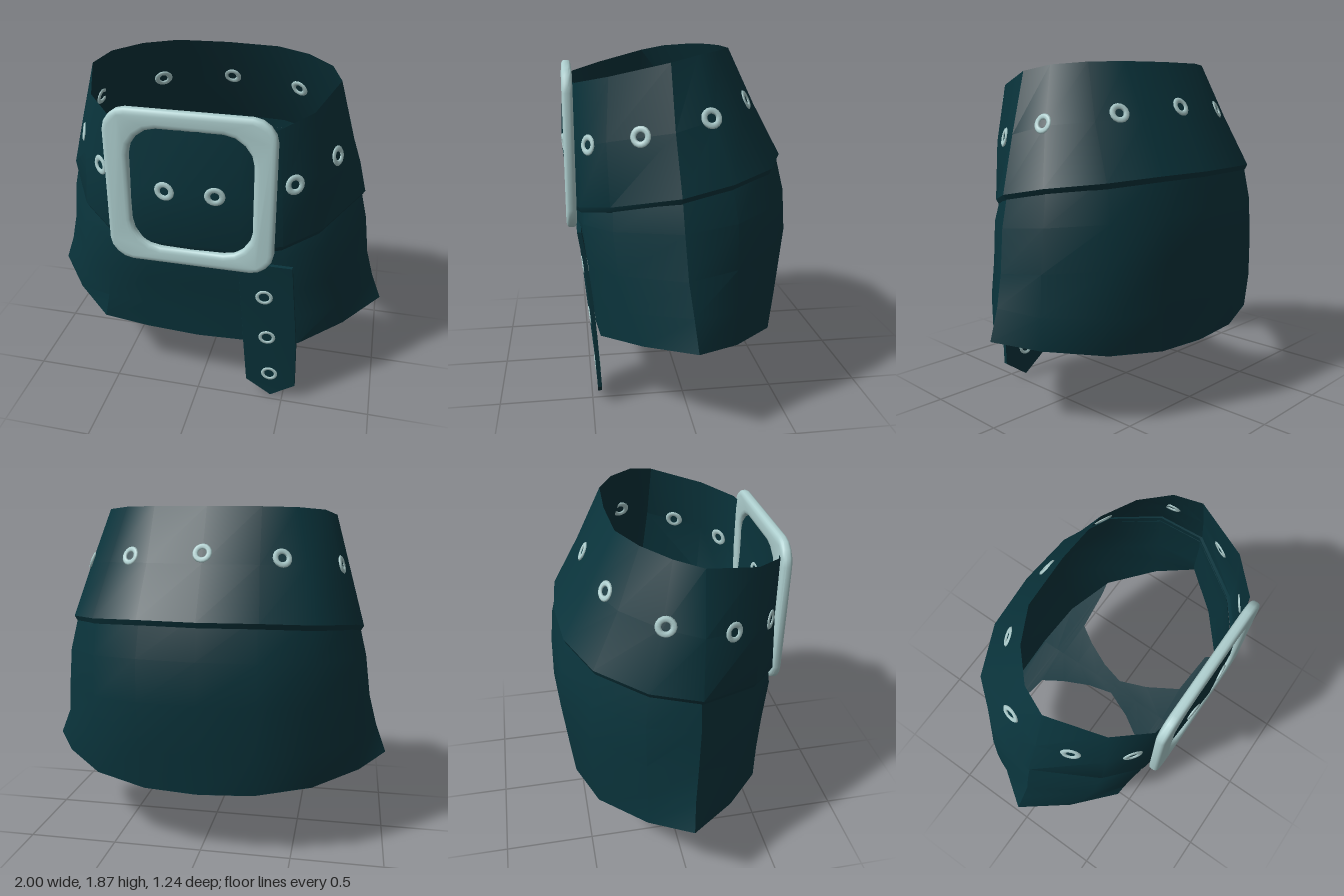
import * as THREE from 'three';
import { toCreasedNormals } from 'three/addons/utils/BufferGeometryUtils.js';

const cloth = new THREE.MeshStandardMaterial({ color: 0x0a343c, side: THREE.DoubleSide });
cloth.name = 'dark teal leather';
const metal = new THREE.MeshStandardMaterial({ color: 0xaecfcf });
metal.name = 'pale metal';

const smooth = (g, angle = 0.6) => toCreasedNormals(g, angle);

function addMesh(group, name, geometry, material) {
  const mesh = new THREE.Mesh(geometry, material);
  mesh.name = name;
  group.add(mesh);
  return mesh;
}

// Skin a grid of points; rows run downwards, columns run front -> left -> back
function skin(rows, closed) {
  const n = rows[0].length, index = [];
  for (let r = 0; r < rows.length - 1; r++) {
    for (let c = 0; c < (closed ? n : n - 1); c++) {
      const d = (c + 1) % n;
      const a = r * n + c, b = a + n, e = (r + 1) * n + d, f = r * n + d;
      index.push(a, b, f, b, e, f);
    }
  }
  const g = new THREE.BufferGeometry();
  g.setAttribute('position', new THREE.Float32BufferAttribute(rows.flat(2), 3));
  g.setIndex(index);
  return smooth(g);
}

// Half ring given as [x, y, z] from centre front to centre back, mirrored across x
function ring(half) {
  const other = half.slice(1, -1).reverse().map(([x, y, z]) => [-x, y, z]);
  return [...half, ...other];
}

// Piecewise linear lookup in [[key, value], ...] with rising keys
function lookup(table, k) {
  for (let i = 1; i < table.length; i++) {
    const [k0, v0] = table[i - 1], [k1, v1] = table[i];
    if (k <= k1 || i === table.length - 1) return v0 + (v1 - v0) * (k - k0) / (k1 - k0);
  }
}

// Square outline with cut, slightly rounded corners
function cutSquare(path, x0, x1, y0, y1, c) {
  const k = c * 0.5;
  path.moveTo(x0 + c, y0);
  path.lineTo(x1 - c, y0);
  path.bezierCurveTo(x1 - k, y0, x1, y0 + k, x1, y0 + c);
  path.lineTo(x1, y1 - c);
  path.bezierCurveTo(x1, y1 - k, x1 - k, y1, x1 - c, y1);
  path.lineTo(x0 + c, y1);
  path.bezierCurveTo(x0 + k, y1, x0, y1 - k, x0, y1 - c);
  path.lineTo(x0, y0 + c);
  path.bezierCurveTo(x0, y0 + k, x0 + k, y0, x0 + c, y0);
  return path;
}

export function createModel() {
  const model = new THREE.Group();
  model.name = 'beltedSkirt';

  // Wide belt, leaning inwards towards its rim, its lower edge curled under
  const rim = [[0, 1.69, .605], [.25, 1.70, .58], [.42, 1.71, .54], [.57, 1.75, .38], [.67, 1.82, .09],
    [.61, 1.85, -.05], [.47, 1.865, -.18], [.29, 1.87, -.27], [0, 1.872, -.285]];
  const waist = [[0, 1.36, .62], [.25, 1.36, .595], [.45, 1.39, .53], [.62, 1.44, .40], [.76, 1.50, .08],
    [.71, 1.55, -.12], [.54, 1.57, -.30], [.30, 1.58, -.41], [0, 1.58, -.435]];
  const beltEnd = [[0, 1.05, .59], [.25, 1.05, .58], [.47, 1.08, .54], [.65, 1.12, .39], [.845, 1.20, .06],
    [.80, 1.25, -.20], [.60, 1.28, -.44], [.32, 1.30, -.56], [0, 1.30, -.585]];
  const curl = beltEnd.map(([x, y, z]) => [x * .98, y - .03, z * .98]);
  const belt = addMesh(model, 'belt', skin([rim, waist, beltEnd, curl].map(ring), true), cloth);

  // Skirt tucked under the belt, flaring to pointed sides
  const tuck = beltEnd.map(([x, y, z]) => [x * .965, y + .03, z * .955]);
  const hip = [[0, .98, .565], [.26, .98, .555], [.48, .99, .525], [.67, 1.0, .38], [.865, 1.03, .05],
    [.82, 1.06, -.22], [.60, 1.08, -.46], [.32, 1.10, -.59], [0, 1.10, -.615]];
  const middle = [[0, .75, .52], [.28, .75, .515], [.50, .76, .495], [.70, .78, .36], [.895, .80, .035],
    [.84, .83, -.22], [.60, .85, -.475], [.32, .87, -.605], [0, .87, -.62]];
  const lower = [[0, .56, .492], [.29, .56, .488], [.53, .57, .47], [.76, .60, .31], [.94, .63, .015],
    [.85, .61, -.22], [.60, .60, -.475], [.31, .59, -.575], [0, .59, -.585]];
  const hem = [[0, .375, .475], [.30, .385, .47], [.57, .40, .45], [.80, .435, .25], [1, .47, 0],
    [.85, .435, -.22], [.60, .40, -.45], [.30, .37, -.55], [0, .36, -.565]];
  addMesh(model, 'skirt', skin([tuck, hip, middle, lower, hem].map(ring), true), cloth);

  // Underside between the leg openings, spreading along the front and back hem:
  // [z, half width, centre y, edge y]
  const under = [[.475, .02, .375, .375], [.47, .30, .376, .385], [.45, .56, .377, .40], [.405, .52, .38, .40],
    [.385, .235, .381, .39], [.2, .12, .388, .394], [.03, .05, .40, .40], [-.12, .09, .394, .397],
    [-.28, .165, .382, .392], [-.40, .24, .374, .387], [-.435, .5, .371, .395], [-.455, .59, .37, .40],
    [-.55, .30, .362, .37], [-.565, .02, .36, .36]];
  const underRows = under.map(([z, w, y, edge]) => [[w, edge, z], [0, y, z], [-w, edge, z]]);
  addMesh(model, 'underside', skin(underRows, false), cloth);

  // Hanging strap end with a pointed tip, leaning back as it falls
  const left = [[.24, .96], [.245, .8], [.255, .6], [.265, .4], [.285, .1]];
  const right = [[.57, .1], [.565, .4], [.55, .6], [.535, .8], [.525, .96]];
  const outline = [...left, [.43, 0], ...right].map(([x, y]) => new THREE.Vector2(x, y));
  const thick = .022;
  const strapGeo = new THREE.ExtrudeGeometry(new THREE.Shape(outline), { depth: thick, bevelEnabled: false });
  const lean = [[0, .445], [.1, .45], [.4, .468], [.6, .484], [.8, .507], [.96, .533]];
  const p = strapGeo.attributes.position;
  for (let i = 0; i < p.count; i++) p.setZ(i, p.getZ(i) + lookup(lean, p.getY(i)));
  const strap = addMesh(model, 'strapEnd', smooth(strapGeo), cloth);

  // Buckle frame with cut corners
  const frame = cutSquare(new THREE.Shape(), -.44, .43, .93, 1.78, .12);
  frame.holes.push(cutSquare(new THREE.Path(), -.315, .32, 1.02, 1.685, .15));
  const buckleGeo = new THREE.ExtrudeGeometry(frame, {
    depth: .02, bevelThickness: .018, bevelSize: .028, bevelOffset: -.028, bevelSegments: 3, curveSegments: 4,
  });
  buckleGeo.translate(0, 0, .569);
  addMesh(model, 'buckle', smooth(buckleGeo, .9), metal);

  // Flat eyelets, showing on both faces, set where a ray meets the surface
  const eyeletGeo = new THREE.TorusGeometry(.038, .0155, 6, 16);
  const eyelets = new THREE.Group();
  eyelets.name = 'eyelets';
  model.add(eyelets);
  function eyelet(name, target, origin, direction, sink, flatness) {
    const hit = new THREE.Raycaster(origin, direction.normalize()).intersectObject(target)[0];
    const mesh = addMesh(eyelets, name, eyeletGeo, metal);
    mesh.position.copy(hit.point).addScaledVector(direction, sink);
    mesh.quaternion.setFromUnitVectors(new THREE.Vector3(0, 0, 1), hit.face.normal);
    mesh.scale.z = flatness;
  }
  const beltSpots = [[.13, 1.36, .61], [.505, 1.41, .485], [.69, 1.475, .24], [.70, 1.56, -.1], [.4, 1.61, -.335]];
  for (const [x, y, z] of beltSpots) {
    for (const s of [1, -1]) {
      eyelet('beltEyelet', belt, new THREE.Vector3(0, y, 0), new THREE.Vector3(s * x, 0, z), 0, .5);
    }
  }
  eyelet('beltEyelet', belt, new THREE.Vector3(.001, 1.635, 0), new THREE.Vector3(0, 0, -1), 0, .5);
  for (const [x, y] of [[.38, .74], [.40, .45], [.42, .17]]) {
    eyelet('strapEyelet', strap, new THREE.Vector3(x, y, 2), new THREE.Vector3(0, 0, -1), thick / 2, 1.1);
  }

  return model;
}
